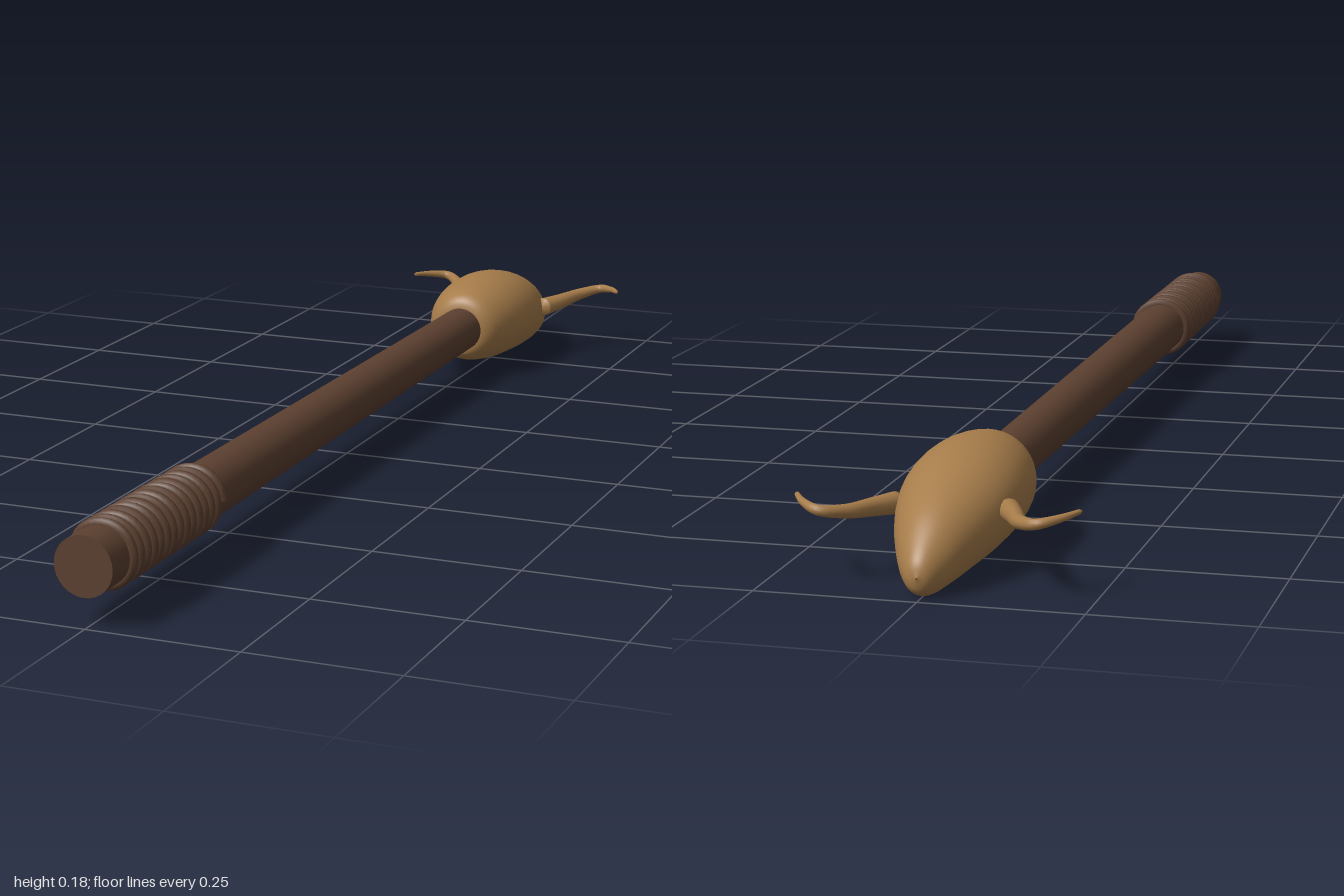
import * as THREE from 'three';
import { mergeVertices } from 'three/addons/utils/BufferGeometryUtils.js';

const AXIS_Y = 0.098;

// Weld seams and poles, then smooth the normals
function smooth(geometry) {
  geometry.deleteAttribute('uv');
  geometry.deleteAttribute('normal');
  const welded = mergeVertices(geometry, 1e-5);
  welded.computeVertexNormals();
  return welded;
}

// Tube whose radius follows radiusAt(t), closing to a point where it is 0
function taperedTube(path, segments, sides, radiusAt) {
  const geometry = new THREE.TubeGeometry(path, segments, 1, sides, false);
  const pos = geometry.attributes.position;
  const v = new THREE.Vector3();
  for (let i = 0; i < pos.count; i++) {
    const t = Math.floor(i / (sides + 1)) / segments;
    const centre = path.getPointAt(t);
    v.fromBufferAttribute(pos, i).sub(centre).multiplyScalar(radiusAt(t)).add(centre);
    pos.setXYZ(i, v.x, v.y, v.z);
  }
  return smooth(geometry);
}

// Egg-shaped head lofted from sections: z, top, bottom, half width
function headGeometry() {
  const sections = [
    [-0.578, 0.1, 0.098, 0.001], [-0.578, 0.148, 0.05, 0.045], [-0.595, 0.165, 0.035, 0.066],
    [-0.65, 0.178, 0.022, 0.086], [-0.73, 0.181, 0.015, 0.094], [-0.8, 0.17, 0.011, 0.09],
    [-0.87, 0.146, 0.007, 0.074], [-0.93, 0.117, 0.003, 0.053], [-0.97, 0.085, 0.003, 0.034],
    [-0.992, 0.061, 0.014, 0.018], [-1, 0.038, 0.036, 0.001],
  ];
  const profile = new THREE.CatmullRomCurve3(sections.map(s => new THREE.Vector3(s[0], s[1], s[2])));
  const width = new THREE.CatmullRomCurve3(sections.map(s => new THREE.Vector3(s[3], s[0], 0)));
  const geometry = new THREE.CylinderGeometry(1, 1, 1, 40, 50, true);
  geometry.rotateX(-Math.PI / 2);
  const pos = geometry.attributes.position;
  for (let i = 0; i < pos.count; i++) {
    const t = THREE.MathUtils.clamp(0.5 - pos.getZ(i), 0, 1);
    const p = profile.getPoint(t);
    const w = width.getPoint(t).x;
    pos.setXYZ(i, pos.getX(i) * w, (p.y + p.z) / 2 + pos.getY(i) * (p.y - p.z) / 2, p.x);
  }
  return smooth(geometry);
}

export function createModel() {
  const group = new THREE.Group();
  const darkWood = new THREE.MeshStandardMaterial({ color: 0x5c4030 });
  darkWood.name = 'dark wood';
  const horn = new THREE.MeshStandardMaterial({ color: 0xa67c4a });
  horn.name = 'tan bone';

  const add = (name, geometry, material) => {
    const mesh = new THREE.Mesh(geometry, material);
    mesh.name = name;
    group.add(mesh);
  };

  // Slightly tapered shaft
  const shaft = new THREE.CylinderGeometry(0.048, 0.041, 1.62, 32);
  shaft.rotateX(Math.PI / 2);
  shaft.translate(0, AXIS_Y, 0.19);
  add('shaft', shaft, darkWood);

  // Cord wound around the grip
  const turns = 14;
  const points = [];
  for (let i = 0; i <= turns * 16; i++) {
    const a = (i / 16) * Math.PI * 2;
    points.push(new THREE.Vector3(
      Math.cos(a) * 0.048, AXIS_Y + Math.sin(a) * 0.048, 0.625 + 0.31 * i / (turns * 16)));
  }
  add('gripCord', new THREE.TubeGeometry(new THREE.CatmullRomCurve3(points), turns * 32, 0.009, 8), darkWood);

  // Plain ring closing the winding
  const ring = new THREE.TorusGeometry(0.048, 0.009, 8, 32);
  ring.translate(0, AXIS_Y, 0.935);
  add('gripRing', ring, darkWood);

  add('head', headGeometry(), horn);

  // Curled horns on both sides
  const hornPoints = [
    [0.085, 0.098, -0.81], [0.108, 0.102, -0.86], [0.133, 0.108, -0.917],
    [0.165, 0.115, -0.947], [0.195, 0.12, -0.926], [0.219, 0.124, -0.89],
  ];
  const hornRadius = t => (t === 0 || t === 1 ? 0 : 0.018 - 0.0145 * t);
  for (const [name, side] of [['leftHorn', 1], ['rightHorn', -1]]) {
    const path = new THREE.CatmullRomCurve3(
      hornPoints.map(([x, y, z]) => new THREE.Vector3(side * x, y, z)));
    add(name, taperedTube(path, 40, 14, hornRadius), horn);
  }

  return group;
}
